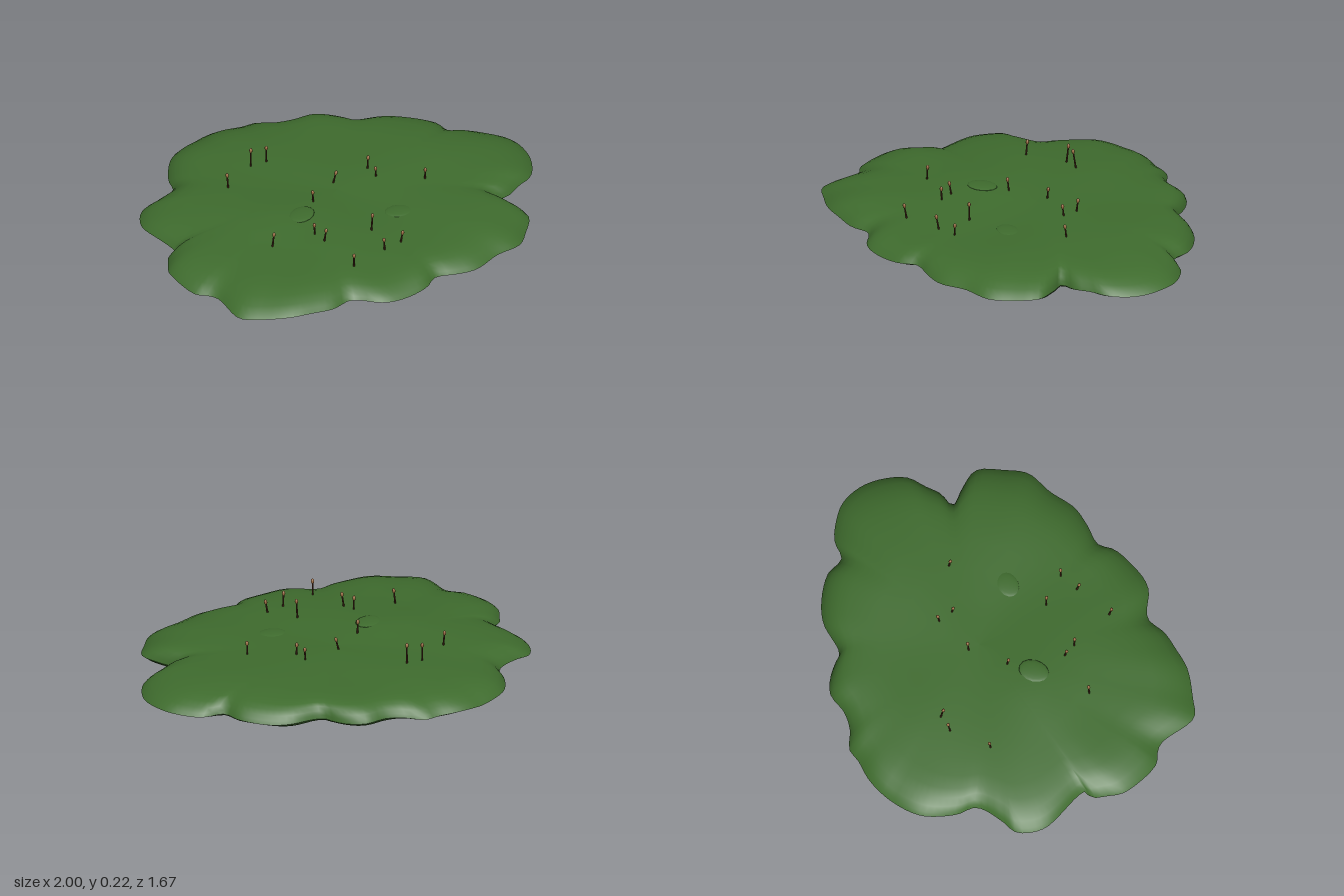
import * as THREE from 'three';

const moss = new THREE.MeshStandardMaterial({ color: 0x3f6c2e });
moss.name = 'mossGreen';
const stalkBrown = new THREE.MeshStandardMaterial({ color: 0x4a2a18 });
stalkBrown.name = 'stalkBrown';
const capTan = new THREE.MeshStandardMaterial({ color: 0x9a6a40 });
capTan.name = 'capTan';

// Ragged outline of the patch as x, z pairs
const OUTLINE = [
  -0.2, -0.835, -0.1, -0.83, 0, -0.8, 0.07, -0.79, 0.14, -0.72, 0.22, -0.68, 0.33, -0.665, 0.39, -0.61, 0.43, -0.54,
  0.45, -0.49, 0.61, -0.44, 0.7, -0.37, 0.78, -0.25, 0.79, -0.15, 0.88, -0.11, 0.95, -0.03, 0.99, 0.05, 0.99, 0.17,
  0.95, 0.27, 0.87, 0.36, 0.78, 0.39, 0.7, 0.42, 0.62, 0.42, 0.65, 0.51, 0.67, 0.62, 0.58, 0.72, 0.49, 0.79,
  0.35, 0.8, 0.21, 0.83, 0.1, 0.81, 0, 0.78, -0.08, 0.82, -0.27, 0.82, -0.34, 0.79, -0.4, 0.72, -0.44, 0.69,
  -0.54, 0.7, -0.64, 0.68, -0.75, 0.65, -0.87, 0.57, -0.95, 0.5, -0.935, 0.3, -0.96, 0.25, -0.995, 0.21, -0.995, 0,
  -0.95, -0.07, -0.9, -0.13, -0.86, -0.13, -0.86, -0.4, -0.78, -0.51, -0.7, -0.52, -0.56, -0.56, -0.52, -0.65,
  -0.42, -0.77, -0.34, -0.81,
];
const N = 180;

// Radius fraction and height from the crown to the rim, and back underneath
const TOP = [[0, 0.13], [0.15, 0.13], [0.3, 0.129], [0.45, 0.127], [0.6, 0.124], [0.7, 0.12], [0.8, 0.114],
  [0.87, 0.105], [0.92, 0.092], [0.96, 0.073], [0.985, 0.054], [1, 0.036]];
const UNDER = [[1, 0.036], [0.97, 0.024], [0.85, 0.016], [0.6, 0.012], [0.3, 0.01], [0, 0.009]];

const bump = (x, z, cx, cz, r, h) => h * Math.exp(-((x - cx) ** 2 + (z - cz) ** 2) / (r * r));

// Soft mounds and hollows across the top
function swell(x, z) {
  return bump(x, z, -0.35, 0.04, 0.2, 0.019) + bump(x, z, 0.55, 0.05, 0.22, 0.008)
    - bump(x, z, 0.1, 0.15, 0.2, 0.012) - bump(x, z, -0.1, 0.6, 0.25, 0.01)
    + 0.004 * Math.sin(9 * x + 2 * z) * Math.cos(8 * z - 3 * x);
}
const ripple = (x, z) => 0.005 * Math.sin(17 * x + 5 * z) * Math.cos(13 * z - 6 * x);

// Surface through scaled copies of the outline
function ringSurface(rings, relief) {
  const curve = new THREE.CatmullRomCurve3([], true, 'centripetal');
  for (let i = 0; i < OUTLINE.length; i += 2) curve.points.push(new THREE.Vector3(OUTLINE[i], 0, OUTLINE[i + 1]));
  const rim = curve.getSpacedPoints(N).slice(0, N);
  const pos = [], index = [];
  rings.forEach(([t, y], i) => {
    rim.forEach((p, j) => {
      // inner rings relax towards a smooth oval
      const a = Math.atan2(p.z, p.x), k = t ** 3;
      const x = t * (k * p.x + (1 - k) * 0.88 * Math.cos(a));
      const z = t * (k * p.z + (1 - k) * 0.78 * Math.sin(a));
      const edge = 0.004 * Math.sin(j * 0.55) * t ** 8;
      pos.push(x, y + relief(x, z) * (t === 1 ? 0.5 : 1) + edge, z);
      if (i === rings.length - 1) return;
      const b = i * N + (j + 1) % N, c = (i + 1) * N + j, d = (i + 1) * N + (j + 1) % N;
      index.push(i * N + j, b, c, b, d, c);
    });
  });
  const g = new THREE.BufferGeometry();
  g.setAttribute('position', new THREE.Float32BufferAttribute(pos, 3));
  g.setIndex(index);
  g.computeVertexNormals();
  return g;
}

// Tip x, y, z of each stalk and its lean in x and z
const STALKS = [
  [-0.41, 0.2, -0.33, 0, -0.012], [-0.21, 0.22, -0.41, 0.008, -0.01], [-0.145, 0.225, -0.375, -0.012, 0.015],
  [0.03, 0.19, -0.05, 0.02, 0.008], [0.225, 0.195, -0.06, 0.01, -0.006], [0.205, 0.185, 0.025, -0.008, 0.005],
  [-0.17, 0.2, 0.03, -0.01, 0.006], [0.385, 0.19, 0.18, -0.005, 0.01], [-0.53, 0.2, 0.21, 0.01, 0.004],
  [-0.33, 0.2, 0.26, -0.012, 0.01], [-0.31, 0.2, 0.33, 0.008, 0.012], [-0.07, 0.215, 0.375, 0.004, 0.006],
  [-0.32, 0.185, 0.565, -0.008, 0.012], [-0.125, 0.185, 0.54, -0.012, 0.01], [-0.005, 0.175, 0.53, 0.01, 0.008],
];

function makeStalk([x, y, z, dx, dz]) {
  const group = new THREE.Group();
  group.name = 'sporeStalk';
  const tip = new THREE.Vector3(x, y, z);
  const foot = new THREE.Vector3(x - dx, 0.1, z - dz);
  const dir = tip.clone().sub(foot);
  const length = dir.length();
  const stem = new THREE.Mesh(new THREE.CylinderGeometry(0.0035, 0.005, length, 6), stalkBrown);
  stem.name = 'stem';
  stem.position.y = length / 2 - 0.008;
  const cap = new THREE.Mesh(new THREE.SphereGeometry(0.008, 8, 6), capTan);
  cap.name = 'sporeCap';
  cap.scale.y = 1.6;
  cap.position.y = length - 0.011;
  group.add(stem, cap);
  group.position.copy(foot);
  group.quaternion.setFromUnitVectors(new THREE.Vector3(0, 1, 0), dir.normalize());
  return group;
}

export function createModel() {
  const model = new THREE.Group();
  model.name = 'mossPatch';

  const cushion = new THREE.Mesh(ringSurface(TOP, swell), moss);
  cushion.name = 'mossCushion';
  const underside = new THREE.Mesh(ringSurface(UNDER, (x, z) => ripple(x, z) + swell(x, z) * 0.05), moss);
  underside.name = 'underside';
  // match the two rims exactly
  const a = cushion.geometry.attributes.position, b = underside.geometry.attributes.position;
  for (let j = 0; j < N; j++) b.setY(j, a.getY((TOP.length - 1) * N + j));
  underside.geometry.computeVertexNormals();
  model.add(cushion, underside);

  // Small clumps breaking through the cushion
  for (const [x, z, r, turn] of [[-0.28, 0.09, 0.075, 0.4], [0.13, 0.31, 0.07, -0.3]]) {
    const clump = new THREE.Mesh(new THREE.SphereGeometry(r, 14, 8), moss);
    clump.name = 'mossClump';
    clump.scale.set(1, 0.12, 0.75);
    clump.rotation.y = turn;
    clump.position.set(x, 0.125 + swell(x, z), z);
    model.add(clump);
  }

  for (const s of STALKS) model.add(makeStalk(s));

  // Stand the patch on the ground
  const box = new THREE.Box3().setFromObject(model);
  model.children.forEach((c) => { c.position.y -= box.min.y; });
  return model;
}
